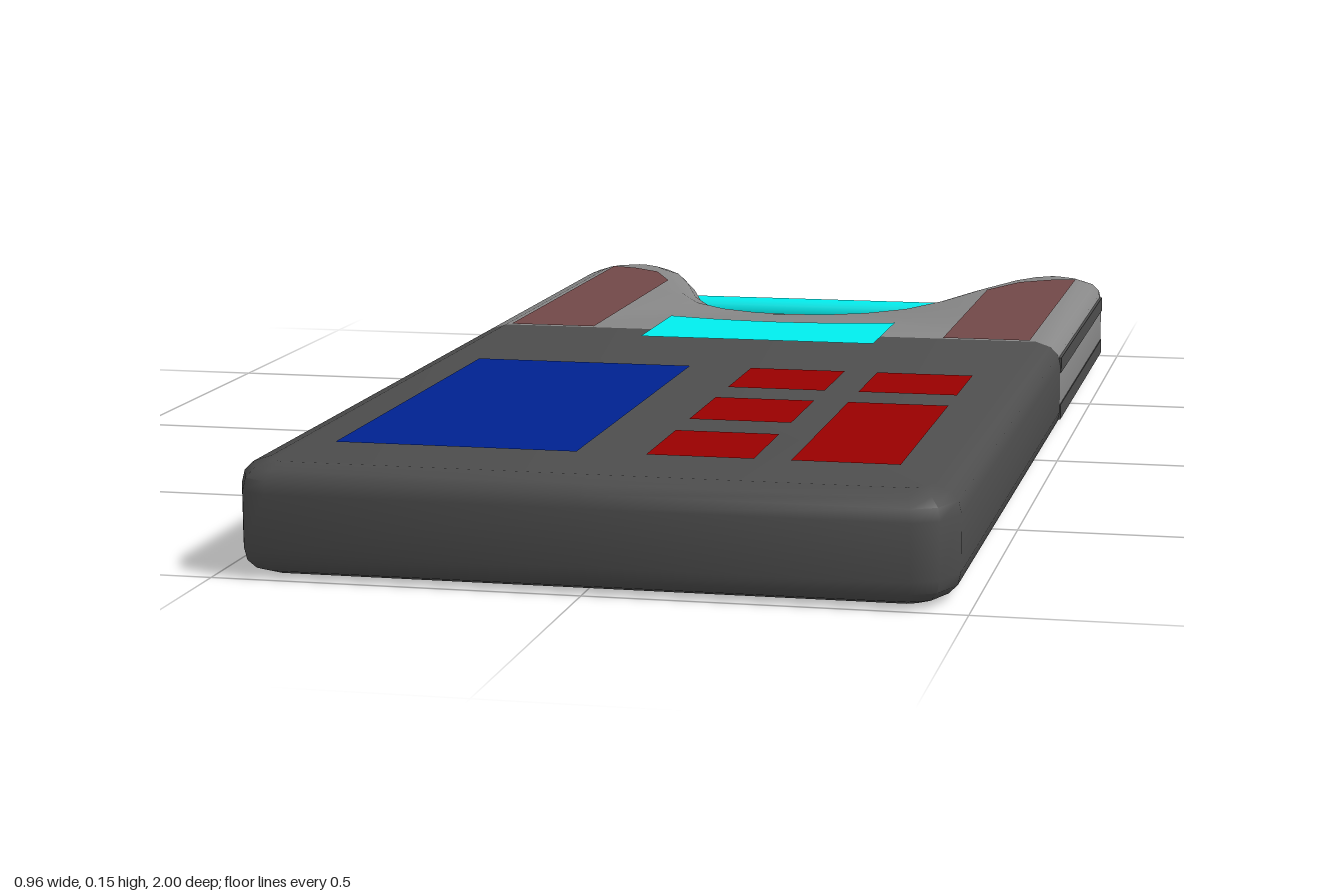
import * as THREE from 'three';
import { toCreasedNormals } from 'three/addons/utils/BufferGeometryUtils.js';

const DARK = 0x4d4d4d, GREY = 0x888888, CYAN = 0x00eeee, RED = 0x990000, BLUE = 0x002290, MAROON = 0x724848;
const H = 0.15, SEAM = -0.21;
// rounded edge: [inset, height]
const EDGE = [[0.04, 0], [0.016, 0.008], [0.004, 0.02], [0, 0.037], [0, H - 0.037], [0.004, H - 0.02], [0.016, H - 0.008], [0.04, H]];

// half outlines as [x, z], counter-clockwise from above
const hornHalf = [[0.48, SEAM], [0.48, -0.88], [0.475, -0.93], [0.455, -0.965], [0.405, -0.997], [0.37, -0.998], [0.325, -0.965],
  [0.29, -0.91], [0.245, -0.79], [0.195, -0.63], [0.15, -0.535], [0.1, -0.485], [0.05, -0.461], [0, -0.455]];
const frontHalf = [[0, 1], [0.425, 1], [0.46, 0.982], [0.48, 0.93], [0.48, SEAM]];
const flip = (pts) => pts.map(([x, z]) => [-x, z]).reverse();
const backOutline = [...hornHalf, ...flip(hornHalf).slice(1)];
const frontOutline = [...flip(frontHalf), ...frontHalf.slice(1)];

function mesh(name, geometry, color, doubleSided = false) {
  const material = new THREE.MeshStandardMaterial({ color });
  if (doubleSided) material.side = THREE.DoubleSide;
  const m = new THREE.Mesh(geometry, material);
  m.name = name;
  return m;
}

// move an open outline inwards by d, with mitred corners
function inset(pts, d) {
  const normal = (a, b) => new THREE.Vector2(a[1] - b[1], b[0] - a[0]).normalize();
  return pts.map((p, i) => {
    const n0 = i > 0 ? normal(pts[i - 1], p) : normal(p, pts[1]);
    const n1 = i < pts.length - 1 ? normal(p, pts[i + 1]) : n0;
    const n = n0.clone().add(n1).normalize();
    const k = d / n.dot(n1);
    return [p[0] - n.x * k, p[1] - n.y * k];
  });
}

// rounded slab: wall lofted along the outline, plus top and bottom faces
function slab(outline) {
  const n = outline.length, pos = [], index = [];
  const rings = EDGE.map(([d, y]) => {
    const ring = inset(outline, d);
    ring.forEach(([x, z]) => pos.push(x, y, z));
    return ring;
  });
  for (let r = 0; r < EDGE.length - 1; r++) {
    for (let i = 0; i < n - 1; i++) {
      const a = r * n + i, b = a + 1, c = b + n, d = a + n;
      index.push(a, b, c, a, c, d);
    }
  }
  const top = (EDGE.length - 1) * n;
  const contour = rings[0].map(([x, z]) => new THREE.Vector2(x, -z));
  for (const [a, b, c] of THREE.ShapeUtils.triangulateShape(contour, [])) {
    index.push(top + a, top + b, top + c, a, c, b);
  }
  const g = new THREE.BufferGeometry();
  g.setAttribute('position', new THREE.Float32BufferAttribute(pos, 3));
  g.setIndex(index);
  return toCreasedNormals(g, 0.8);
}

// thin flat inlay lying on a horizontal face
function inlay(name, pts, color, y = H + 0.0015) {
  const shape = new THREE.Shape(pts.map(([x, z]) => new THREE.Vector2(x, -z)));
  const m = mesh(name, new THREE.ShapeGeometry(shape).rotateX(-Math.PI / 2), color, true);
  m.position.y = y;
  return m;
}
const rect = (x0, x1, z0, z1) => [[x0, z1], [x1, z1], [x1, z0], [x0, z0]];

// upright band following the wall of the notch
function notchBand() {
  const path = inset(backOutline.slice(7, -7), -0.002);
  const pos = [], index = [];
  path.forEach(([x, z], i) => {
    pos.push(x, 0.037, z, x, H - 0.037, z);
    if (i) {
      const a = 2 * i - 2;
      index.push(a, a + 2, a + 3, a, a + 3, a + 1);
    }
  });
  const g = new THREE.BufferGeometry();
  g.setAttribute('position', new THREE.Float32BufferAttribute(pos, 3));
  g.setIndex(index);
  g.computeVertexNormals();
  return mesh('notchBand', g, CYAN, true);
}

export function createModel() {
  const model = new THREE.Group();
  model.name = 'handheldDevice';

  // casing
  model.add(mesh('frontCasing', slab(frontOutline), DARK), mesh('hornedCasing', slab(backOutline), GREY));

  // glowing notch wall and the rod between the horns
  model.add(notchBand());
  const rod = mesh('rod', new THREE.CylinderGeometry(0.025, 0.025, 0.66, 20).rotateZ(Math.PI / 2), CYAN);
  rod.position.set(0, H / 2, -0.92);
  model.add(rod);

  // curved panel over the seam
  const arc = [];
  for (let i = 0; i <= 10; i++) {
    const t = 1 - i / 5;
    arc.push([0.19 * t, -0.315 - 0.03 * t * t]);
  }
  model.add(inlay('seamPanel', [[-0.19, -0.125], [0.19, -0.125], ...arc], CYAN, H + 0.002));

  // display and buttons
  model.add(inlay('display', rect(-0.385, -0.05, 0.135, 0.825), BLUE));
  const buttons = [[0.045, 0.19, 0.135, 0.305], [0.045, 0.19, 0.39, 0.565], [0.045, 0.19, 0.65, 0.825],
    [0.24, 0.385, 0.135, 0.305], [0.24, 0.385, 0.39, 0.825]];
  buttons.forEach((b, i) => model.add(inlay(`button${i + 1}`, rect(...b), RED)));

  // parts on both sides: horn panels, side stripes, tabs underneath
  const hornPanel = [[0.29, SEAM], [0.43, SEAM], [0.43, -0.915], [0.385, -0.9], [0.335, -0.86], [0.29, -0.755]];
  for (const [side, s] of [['left', 1], ['right', -1]]) {
    model.add(inlay(`${side}HornPanel`, s > 0 ? hornPanel : flip(hornPanel), MAROON));
    for (const [level, y] of [['lower', 0.037], ['upper', 0.113]]) {
      const stripe = mesh(`${side}${level}Stripe`, new THREE.BoxGeometry(0.006, 0.024, 0.67), DARK);
      stripe.position.set(s * 0.4785, y, -0.545);
      model.add(stripe);
    }
    const tab = mesh(`${side}BottomTab`, new THREE.BoxGeometry(0.1, 0.004, 0.22), GREY);
    tab.position.set(s * 0.305, 0.001, -0.1);
    model.add(tab);
  }
  return model;
}
